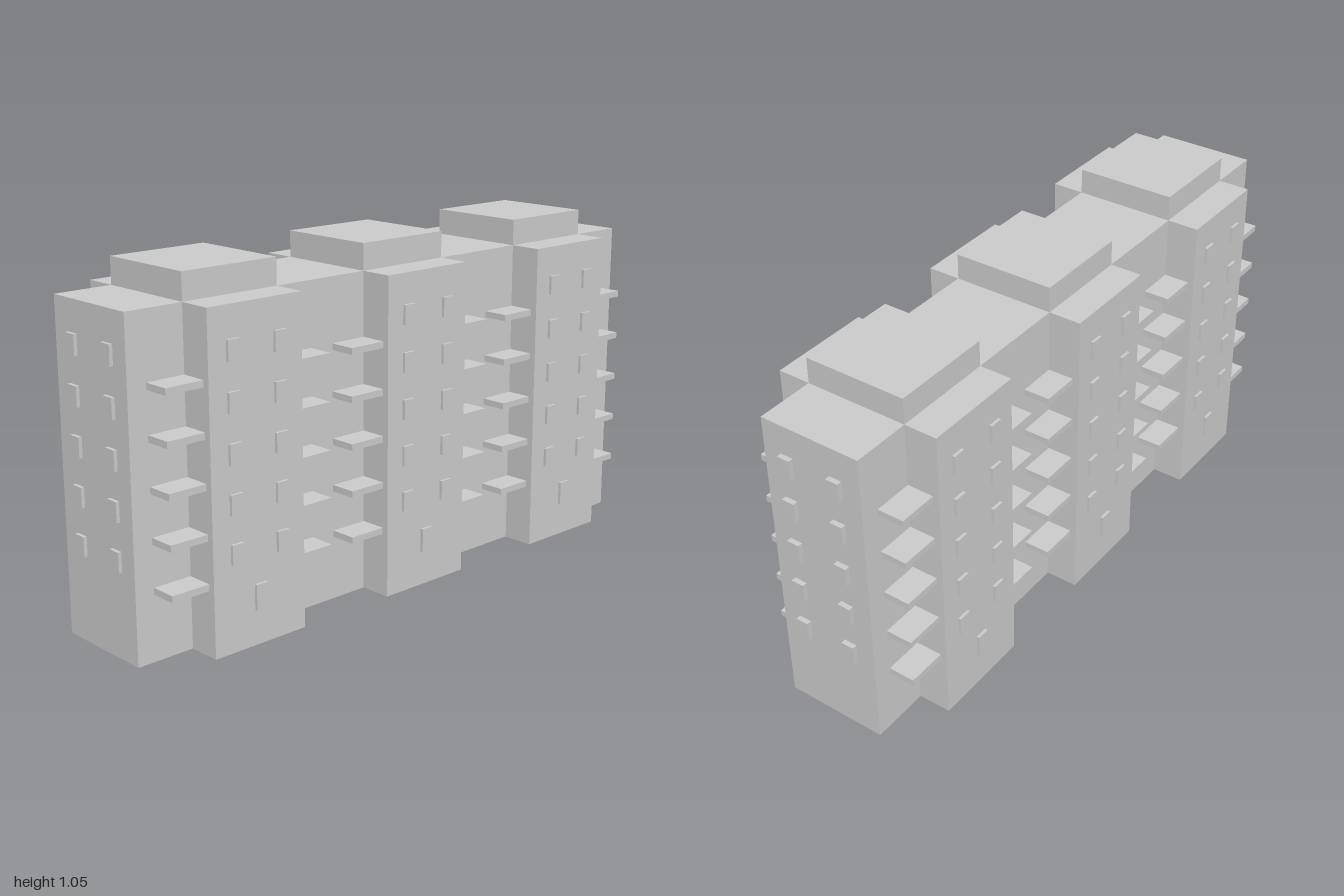
import * as THREE from 'three';

const material = new THREE.MeshStandardMaterial({ color: 0xcccccc, flatShading: true });

// Box given by its min and max corners
function box(parent, name, [x0, y0, z0], [x1, y1, z1]) {
  const mesh = new THREE.Mesh(new THREE.BoxGeometry(x1 - x0, y1 - y0, z1 - z0), material);
  mesh.position.set((x0 + x1) / 2, (y0 + y1) / 2, (z0 + z1) / 2);
  mesh.name = name;
  parent.add(mesh);
  return mesh;
}

export function createModel() {
  const model = new THREE.Group();
  model.name = 'apartmentBlock';

  const floors = 5, floorHeight = 0.141;
  const wallTop = 0.97, roofTop = 1.05;
  const bodyX = 0.987, bodyZ = 0.16;
  const towerX = 0.16, towerZ = 0.262;
  const offset = -0.0025; // the walls sit slightly off the middle

  // Long main block
  box(model, 'mainBlock', [offset - bodyX, 0, -bodyZ], [offset + bodyX, wallTop, bodyZ]);

  // Three stair towers with roof rooms, windows, doors and balconies
  for (const cx of [-0.645, 0, 0.645]) {
    const section = new THREE.Group();
    section.name = 'stairSection';
    section.position.x = cx + offset;
    model.add(section);

    box(section, 'tower', [-towerX, 0, -towerZ], [towerX, wallTop, towerZ]);
    box(section, 'roofRoom', [-towerX, wallTop, -bodyZ], [towerX, roofTop, bodyZ]);

    for (const side of [1, -1]) {
      const z0 = side > 0 ? towerZ - 0.01 : -0.271;
      const z1 = side > 0 ? 0.271 : -towerZ + 0.01;
      box(section, 'door', [-0.02, 0.105, z0], [0.02, 0.18, z1]);

      for (let i = 0; i < floors; i++) {
        const y = i * floorHeight;
        for (const wx of [-0.08, 0.08]) {
          box(section, 'window', [wx - 0.02, 0.255 + y, z0], [wx + 0.02, 0.314 + y, z1]);
        }
        // Balcony slabs on both flanks of the tower
        const b0 = side > 0 ? bodyZ : -0.242;
        const b1 = side > 0 ? 0.242 : -bodyZ;
        box(section, 'balcony', [-0.282, 0.193 + y, b0], [-towerX, 0.2125 + y, b1]);
        box(section, 'balcony', [towerX, 0.193 + y, b0], [0.282, 0.2125 + y, b1]);
      }
    }
  }

  // Windows on the two end walls
  for (const side of [1, -1]) {
    const x0 = side > 0 ? 0.97 : -1;
    const x1 = side > 0 ? 1 : -0.97;
    for (let i = 0; i < floors; i++) {
      const y = i * floorHeight;
      for (const z of [-0.08, 0.083]) {
        box(model, 'endWindow', [x0, 0.255 + y, z - 0.02], [x1, 0.314 + y, z + 0.02]);
      }
    }
  }

  return model;
}
